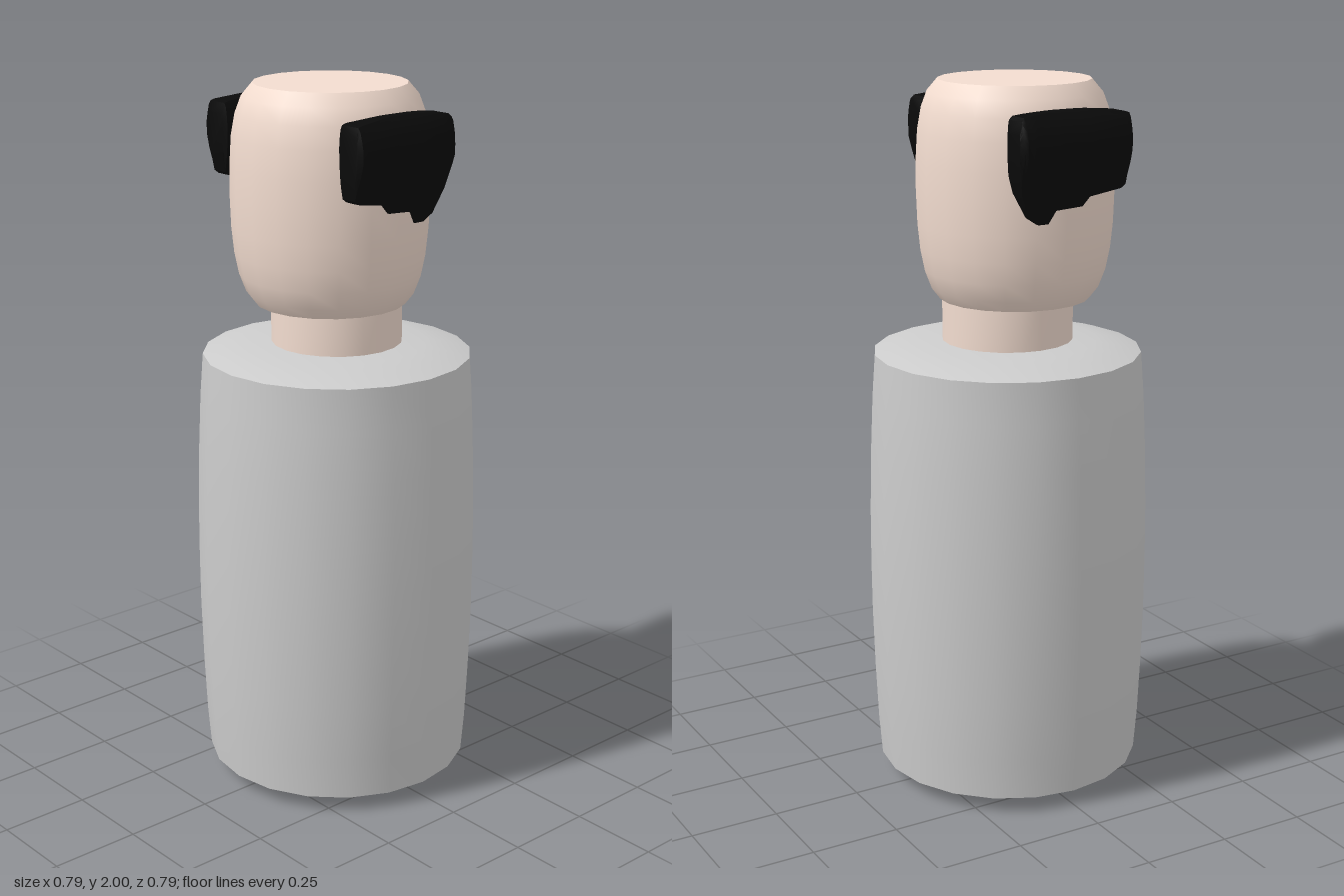
import * as THREE from 'three';
import { toCreasedNormals } from 'three/addons/utils/BufferGeometryUtils.js';

const grey = new THREE.MeshStandardMaterial({ color: 0xcccccc });
const skin = new THREE.MeshStandardMaterial({ color: 0xf2dccf });
const black = new THREE.MeshStandardMaterial({ color: 0x0a0a0a });

function addMesh(group, name, geometry, material, crease = 0.6) {
  const mesh = new THREE.Mesh(toCreasedNormals(geometry, crease), material);
  mesh.name = name;
  group.add(mesh);
  return mesh;
}

// Turned part from [radius, height] pairs, bottom to top
function turned(profile) {
  return new THREE.LatheGeometry(profile.map(([r, y]) => new THREE.Vector2(r, y)), 20);
}

// Ear pad lofted along x; side is 1 for the front, -1 for the back
function earPad(side) {
  // x, bottom, top, depth scale
  const stations = [
    [-0.194, 1.79, 1.90, 0.6], [-0.188, 1.74, 1.93, 0.85], [-0.175, 1.73, 1.934, 0.92],
    [-0.08, 1.715, 1.943, 1], [-0.06, 1.69, 1.944, 1], [0.02, 1.685, 1.944, 1],
    [0.04, 1.65, 1.943, 1], [0.07, 1.65, 1.941, 0.98], [0.1, 1.67, 1.938, 0.95],
    [0.13, 1.735, 1.934, 0.9], [0.139, 1.78, 1.925, 0.8], [0.146, 1.82, 1.89, 0.6],
  ];
  // height, inner z, outer z
  const depth = [
    [1.65, 0.257, 0.268], [1.72, 0.238, 0.282], [1.78, 0.222, 0.303], [1.82, 0.217, 0.323],
    [1.87, 0.215, 0.325], [1.915, 0.22, 0.314], [1.935, 0.232, 0.298], [1.945, 0.252, 0.28],
  ];
  const depthAt = (y, k) => {
    let i = 0;
    while (i < depth.length - 2 && y > depth[i + 1][0]) i++;
    const t = THREE.MathUtils.clamp((y - depth[i][0]) / (depth[i + 1][0] - depth[i][0]), 0, 1);
    return THREE.MathUtils.lerp(depth[i][k], depth[i + 1][k], t);
  };
  const steps = [0, 0.15, 0.32, 0.5, 0.68, 0.82, 0.94, 1];
  const n = steps.length * 2;
  const offset = side < 0 ? 0.014 : 0;
  const pos = [], index = [];
  const tri = (a, b, c) => (side > 0 ? index.push(a, b, c) : index.push(a, c, b));

  stations.forEach(([x, low, high, scale]) => {
    const point = (t, k) => {
      const y = low + (high - low) * t;
      const mid = (depthAt(y, 1) + depthAt(y, 2)) / 2;
      pos.push(x, y, side * (mid + (depthAt(y, k) - mid) * scale + offset));
    };
    steps.forEach((t) => point(t, 2));
    [...steps].reverse().forEach((t) => point(t, 1));
  });
  const last = (stations.length - 1) * n;
  for (let j = 0; j < n; j++) {
    const next = (j + 1) % n;
    for (let i = 0; i < last; i += n) {
      tri(i + j, i + n + j, i + n + next);
      tri(i + j, i + n + next, i + next);
    }
    // End caps
    if (j > 0 && j < n - 1) {
      tri(0, j, j + 1);
      tri(last, last + j + 1, last + j);
    }
  }
  const geometry = new THREE.BufferGeometry();
  geometry.setAttribute('position', new THREE.Float32BufferAttribute(pos, 3));
  geometry.setIndex(index);
  return geometry;
}

export function createModel() {
  const model = new THREE.Group();
  model.name = 'figure';

  // Barrel-shaped body with gently domed ends
  addMesh(model, 'body', turned([
    [0, 0], [0.12, 0.008], [0.25, 0.02], [0.33, 0.033], [0.375, 0.045],
    [0.384, 0.16], [0.391, 0.32], [0.396, 0.5], [0.397, 0.65], [0.396, 0.8],
    [0.391, 0.98], [0.384, 1.13], [0.375, 1.25],
    [0.33, 1.264], [0.25, 1.279], [0.12, 1.287], [0, 1.29],
  ]), grey);

  // Neck
  const neck = new THREE.CylinderGeometry(0.183, 0.183, 0.16, 20);
  addMesh(model, 'neck', neck, skin).position.y = 1.34;

  // Head with flat top and underside
  const head = addMesh(model, 'head', turned([
    [0, 1.4], [0.21, 1.4], [0.233, 1.43], [0.252, 1.48], [0.264, 1.54], [0.271, 1.61],
    [0.274, 1.7], [0.273, 1.78], [0.268, 1.86], [0.257, 1.92], [0.24, 1.965],
    [0.21, 2], [0, 2],
  ]), skin);
  head.position.x = -0.023;

  // Pads on the front and back of the head
  addMesh(model, 'frontPad', earPad(1), black);
  addMesh(model, 'backPad', earPad(-1), black);

  return model;
}
